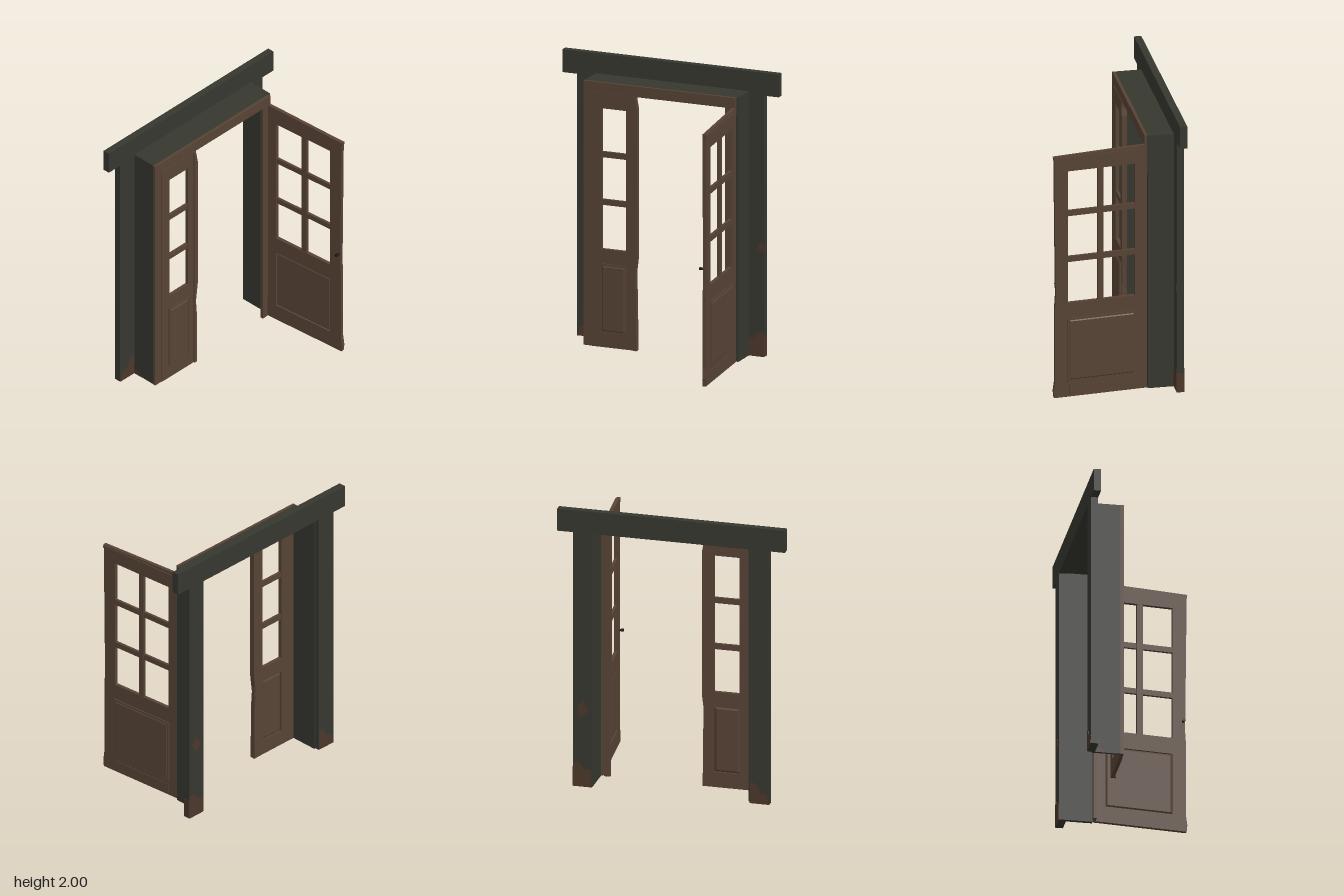
import * as THREE from 'three';

const mat = (name, color) => {
  const m = new THREE.MeshStandardMaterial({ color });
  m.name = name;
  return m;
};

export function createModel() {
  const wood = mat('brown wood', 0x574335);
  const paint = mat('dark green paint', 0x36372f);
  const rust = mat('bare worn wood', 0x4d372b);
  const metal = mat('black metal', 0x191817);

  const root = new THREE.Group();
  root.name = 'doorway';

  const rect = (a, b, c, d) => [[a, b], [c, b], [c, d], [a, d]];
  const vecs = (pts) => pts.map(([x, y]) => new THREE.Vector2(x, y));

  // Flat slab cut from an outline with holes, from z0 to z0 + depth
  const slab = (parent, name, material, pts, depth, z0 = 0, holes = []) => {
    const s = new THREE.Shape(vecs(pts));
    holes.forEach((h) => s.holes.push(new THREE.Path(vecs(h))));
    const g = new THREE.ExtrudeGeometry(s, { depth, bevelEnabled: false });
    g.translate(0, 0, z0);
    const mesh = new THREE.Mesh(g, material);
    mesh.name = name;
    parent.add(mesh);
    return mesh;
  };

  // Box given by its minimum and maximum corners
  const box = (parent, name, material, x0, y0, z0, x1, y1, z1) => {
    const mesh = new THREE.Mesh(new THREE.BoxGeometry(x1 - x0, y1 - y0, z1 - z0), material);
    mesh.position.set((x0 + x1) / 2, (y0 + y1) / 2, (z0 + z1) / 2);
    mesh.name = name;
    parent.add(mesh);
    return mesh;
  };

  // Wall plane: local x runs along -z, local z runs along +x
  const wall = (name, x) => {
    const g = new THREE.Group();
    g.name = name;
    g.position.x = x;
    g.rotation.y = Math.PI / 2;
    root.add(g);
    return g;
  };

  // Outer casing: two posts under a long lintel
  const casing = wall('casing', -0.45);
  slab(casing, 'lintel', paint, rect(-0.8, 1.84, 0.8, 2), 0.05);
  slab(casing, 'leftPost', paint, rect(-0.69, 0, -0.55, 1.84), 0.05);
  slab(casing, 'rightPost', paint, rect(0.555, 0, 0.69, 1.84), 0.05);

  // Deep lining of the opening
  const lining = new THREE.Group();
  lining.name = 'lining';
  root.add(lining);
  box(lining, 'leftJamb', paint, -0.42, 0, 0.537, -0.22, 1.86, 0.553);
  box(lining, 'rightJamb', paint, -0.42, 0, -0.58, -0.22, 1.86, -0.555);
  box(lining, 'headJamb', paint, -0.405, 1.845, -0.578, -0.22, 1.86, 0.551);

  // Inner wooden door frame
  const frame = wall('doorFrame', -0.222);
  slab(frame, 'frame', wood, [
    [-0.555, 0], [-0.49, 0], [-0.49, 1.785], [0.49, 1.785], [0.49, 0],
    [0.535, 0], [0.565, 1.8], [0.565, 1.86], [-0.555, 1.86],
  ], 0.022);

  // Door leaf with a glazing opening, bars and a raised panel below
  const leaf = (parent, outline, x0, x1, barX, win, bars, pan, barDepth) => {
    slab(parent, 'leaf', wood, outline, 0.025, 0,
      [rect(x0, win[0], x1, win[1]), rect(x0, pan[0], x1, pan[1])]);
    bars.forEach((y) => box(parent, 'glazingBar', wood,
      x0 - 0.005, y - 0.02, 0.003, x1 + 0.005, y + 0.02, barDepth));
    if (barX !== null) {
      box(parent, 'middleBar', wood, barX - 0.021, win[0] - 0.005, 0.002,
        barX + 0.021, win[1] + 0.005, barDepth + 0.001);
    }
    const b = 0.014;
    const g = new THREE.ExtrudeGeometry(
      new THREE.Shape(vecs(rect(x0 + b, pan[0] + b, x1 - b, pan[1] - b))),
      { depth: 0.012, bevelThickness: 0.01, bevelSize: b, bevelSegments: 1 });
    g.translate(0, 0, 0.014);
    const panel = new THREE.Mesh(g, wood);
    panel.name = 'raisedPanel';
    parent.add(panel);
    // Moulding around the panel on the outer side
    slab(parent, 'panelMoulding', wood, rect(x0 - 0.008, pan[0] - 0.008, x1 + 0.008, pan[1] + 0.008),
      0.008, 0.025, [rect(x0 + 0.006, pan[0] + 0.006, x1 - 0.006, pan[1] - 0.006)]);
  };

  // Narrow closed leaf with a splintered cover strip
  const narrow = wall('narrowDoor', -0.221);
  leaf(narrow, rect(-0.492, 0, -0.165, 1.787), -0.42, -0.24, null,
    [0.69, 1.68], [1.02, 1.355], [0.11, 0.58], 0.022);
  slab(narrow, 'coverStrip', wood, [
    [-0.185, 0], [-0.16, 0], [-0.163, 0.4], [-0.172, 0.52], [-0.155, 0.66],
    [-0.155, 1.7], [-0.17, 1.78], [-0.185, 1.78],
  ], 0.036, -0.002);

  // Wide leaf standing open, local x runs from the hinge towards negative
  const wide = new THREE.Group();
  wide.name = 'openDoor';
  wide.position.set(-0.215, 0, -0.54);
  wide.rotation.y = Math.PI + 0.092;
  root.add(wide);
  leaf(wide, [
    [-0.655, 0], [0, 0], [0, 1.79], [-0.66, 1.772], [-0.655, 1.74], [-0.647, 1.0],
    [-0.644, 0.75], [-0.65, 0.66], [-0.65, 0.12], [-0.66, 0.05],
  ], -0.557, -0.085, -0.326, [0.69, 1.66], [1.01, 1.348], [0.12, 0.57], 0.022);
  box(wide, 'topRail', wood, -0.655, 1.75, 0.02, -0.06, 1.768, 0.032);
  box(wide, 'bottomRail', wood, -0.55, 0.02, 0.02, -0.08, 0.085, 0.029);

  // Small door knob
  const knob = new THREE.Mesh(new THREE.CylinderGeometry(0.011, 0.008, 0.035, 8), metal);
  knob.rotation.x = -Math.PI / 2;
  knob.position.set(-0.63, 0.82, -0.012);
  knob.name = 'knob';
  wide.add(knob);

  // Worn patches on the posts, thin plates on both broad faces
  const worn = [
    [[-0.689, 0], [-0.556, 0], [-0.556, 0.15], [-0.6, 0.14], [-0.62, 0.08], [-0.67, 0.07]],
    [[0.56, 0], [0.689, 0], [0.689, 0.17], [0.64, 0.17], [0.62, 0.13], [0.56, 0.12]],
    [[0.64, 0.75], [0.689, 0.74], [0.689, 0.79], [0.66, 0.8]],
  ];
  worn.forEach((p) => slab(casing, 'wornPatch', rust, p, 0.002, 0.05));
  worn.slice(0, 2).forEach((p) => slab(casing, 'wornPatch', rust, p, 0.002, -0.002));
  slab(casing, 'wornPatch', rust,
    [[0.58, 0.55], [0.64, 0.5], [0.66, 0.57], [0.62, 0.63]], 0.002, -0.002);
  box(casing, 'wornEdge', rust, 0.69, 0, 0, 0.692, 0.14, 0.05);
  box(lining, 'wornFoot', rust, -0.4, 0, 0.553, -0.34, 0.03, 0.555);

  return root;
}
